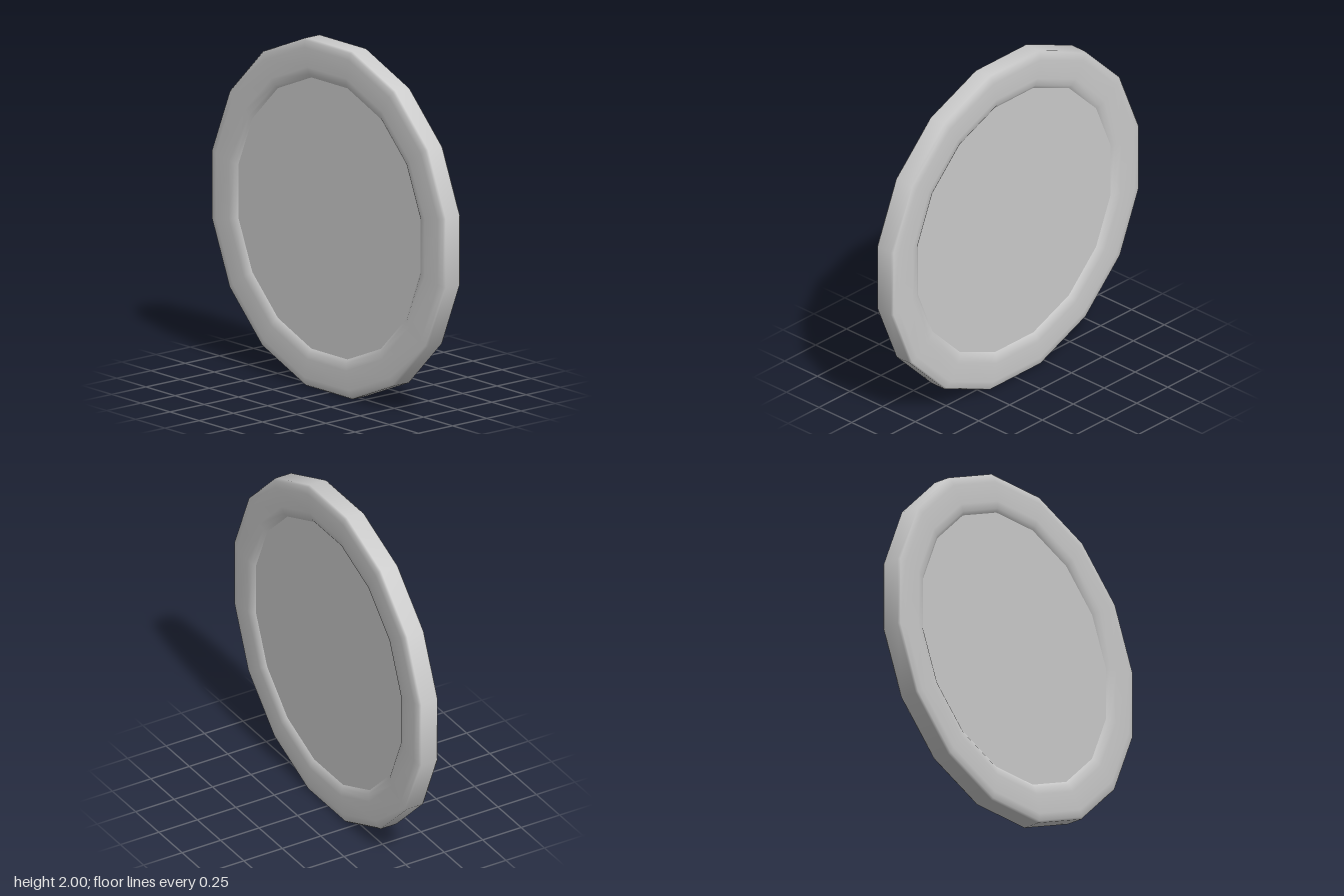
import * as THREE from 'three';

const SIDES = 16;
const START = Math.PI / SIDES;                 // puts a flat side at top and bottom
const toCorner = 1 / Math.cos(Math.PI / SIDES); // flat-to-flat radius -> corner radius

export function createModel() {
  const group = new THREE.Group();
  const material = new THREE.MeshStandardMaterial({ color: 0xcccccc });

  // Rim: half profile (radius, depth) from the inner lip to the outer wall, mirrored front to back
  const half = [[0.78, 0.048], [0.8, 0.062], [0.84, 0.068], [0.95, 0.068], [0.99, 0.062], [1, 0.05]];
  const profile = [
    ...half.map(([r, d]) => new THREE.Vector2(r * toCorner, -d)),
    ...half.slice().reverse().map(([r, d]) => new THREE.Vector2(r * toCorner, d)),
  ];
  const rim = new THREE.Mesh(new THREE.LatheGeometry(profile, SIDES, START), material);
  rim.name = 'rim';

  // Flat panel filling the rim, slightly recessed on both faces
  const r = 0.78 * toCorner;
  const panel = new THREE.Mesh(new THREE.CylinderGeometry(r, r, 0.096, SIDES, 1, false, START), material);
  panel.name = 'panel';

  // Stand the disc upright, facing front
  for (const mesh of [rim, panel]) {
    mesh.rotation.x = Math.PI / 2;
    mesh.position.y = 1;
    group.add(mesh);
  }
  return group;
}
